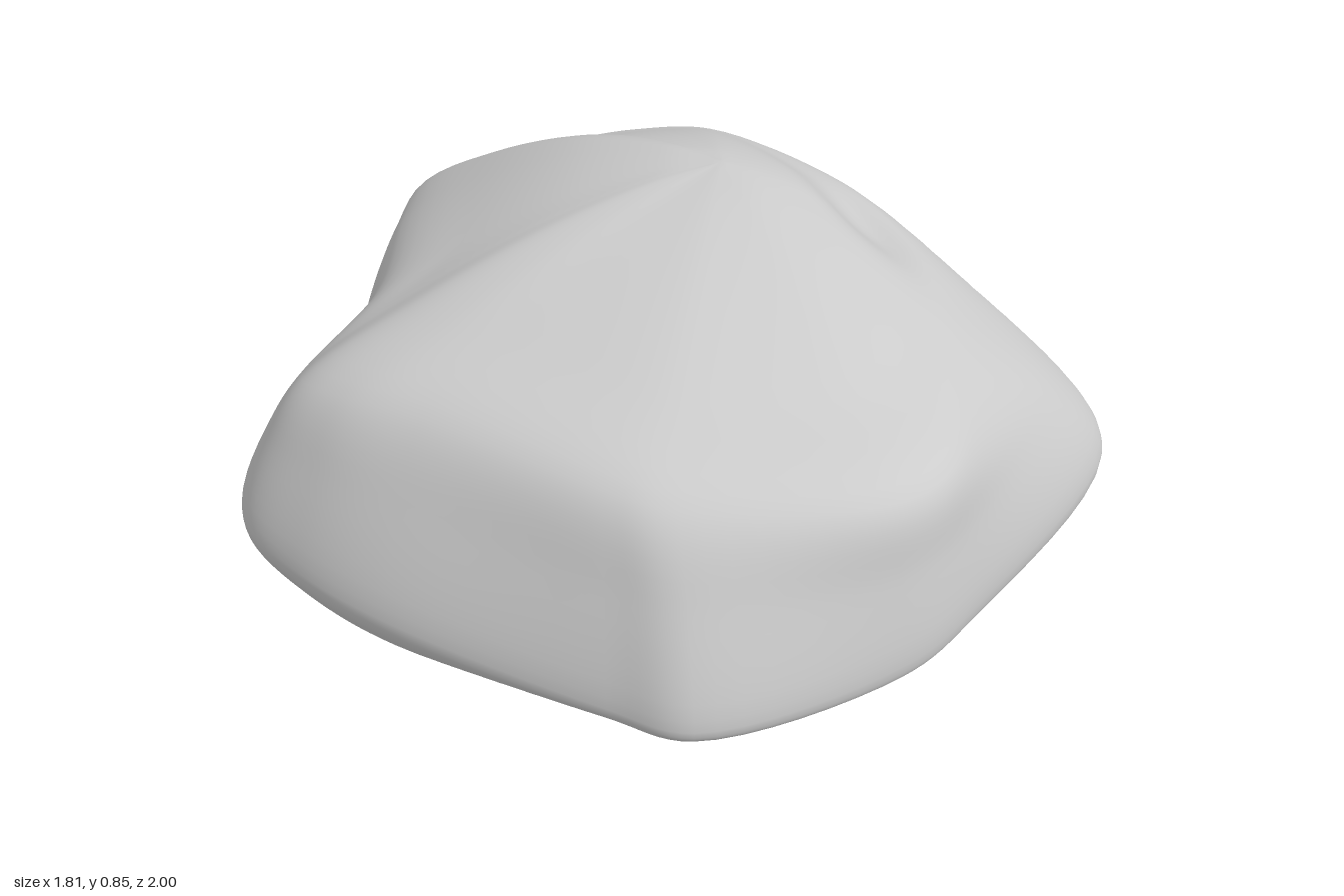
import * as THREE from 'three';
import { mergeVertices } from 'three/addons/utils/BufferGeometryUtils.js';

const { smoothstep } = THREE.MathUtils;
const v = (x, y, z) => new THREE.Vector3(x, y, z);
const APEX = v(0.27, 0.835, 0.03);
const BASE = v(0.15, 0.005, -0.05);

// Stations round the rock, from the back lobe by way of +x:
// [rim x, rim z, shoulder x, shoulder y, shoulder z]
const STATIONS = [
  // back lobe
  [0.12, -1.0, 0.13, 0.44, -0.93],
  [0.29, -0.92, 0.25, 0.46, -0.86],
  [0.355, -0.8, 0.29, 0.53, -0.74],
  [0.43, -0.7, 0.35, 0.59, -0.62],
  // +x flank
  [0.6, -0.58, 0.46, 0.65, -0.46],
  [0.78, -0.39, 0.6, 0.66, -0.3],
  [0.88, 0.1, 0.63, 0.665, 0.12],
  [0.9, 0.5, 0.55, 0.64, 0.42],
  [0.86, 0.73, 0.43, 0.62, 0.6],
  [0.72, 0.9, 0.3, 0.59, 0.75],
  // front
  [0.1, 0.99, 0.03, 0.55, 0.92],
  [-0.17, 0.985, -0.17, 0.55, 0.9],
  [-0.62, 0.78, -0.5, 0.57, 0.62],
  // -x flank
  [-0.7, 0.6, -0.57, 0.58, 0.47],
  [-0.87, 0.08, -0.67, 0.58, 0.02],
  [-0.905, -0.2, -0.72, 0.55, -0.2],
  [-0.88, -0.42, -0.71, 0.51, -0.36],
  [-0.75, -0.56, -0.62, 0.47, -0.45],
  // hollow beside the back lobe
  [-0.42, -0.63, -0.36, 0.52, -0.51],
  [-0.08, -0.92, -0.02, 0.46, -0.82],
];

// Point on the domed crown, s = 0 at the shoulder and 1 at the apex;
// the dome is fuller toward the back
function crownPoint(shoulder, s, groove = 0) {
  const p = shoulder.clone().lerp(APEX, s);
  const fullness = 1.48 + 0.6 * Math.max(0, -shoulder.z);
  p.y = shoulder.y + (APEX.y - shoulder.y) * (1 - Math.pow(1 - s, fullness)) - groove;
  return p;
}

// Profile of one station from the underside up to the crown
function profile([x, z, sx, sy, sz]) {
  const front = smoothstep(z, 0, 0.8);
  const rimY = 0.16 + 0.04 * front * x;
  // The underside lifts toward the front and -x, and is undercut at the front
  const underY = Math.max(0.005, 0.045 * smoothstep(-x, -0.1, 0.4), 0.068 * smoothstep(z, -0.1, 0.5));
  const inset = 0.94 - 0.04 * front;
  const under = v(x * inset, underY, z * inset);
  const shoulder = v(sx, sy, sz);
  // A groove runs behind the ledge on the +x flank
  const groove = sx > 0.4 ? 0.06 * Math.exp(-(((sz - 0.32) / 0.2) ** 2)) : 0;
  return [
    BASE.clone().lerp(under, 0.5),
    under,
    v(x * 0.985, underY + (rimY - underY) * 0.4, z * 0.985),
    v(x, rimY, z),
    v(x + (sx - x) * 0.42, rimY + (sy - rimY) * 0.55, z + (sz - z) * 0.42),
    shoulder,
    crownPoint(shoulder, 0.25, groove),
    crownPoint(shoulder, 0.55),
    crownPoint(shoulder, 0.82),
  ];
}

function rockGeometry(around, up) {
  // Smooth each level into a closed ring
  const profiles = STATIONS.map(profile);
  const rings = profiles[0].map((_, level) =>
    new THREE.CatmullRomCurve3(profiles.map((p) => p[level]), true));

  // Smooth each column from base to apex
  const positions = [];
  const index = [];
  for (let i = 0; i < around; i++) {
    const column = new THREE.CatmullRomCurve3(
      [BASE, ...rings.map((r) => r.getPoint(i / around)), APEX]);
    for (let j = 0; j <= up; j++) positions.push(...column.getPoint(j / up).toArray());
  }
  for (let i = 0; i < around; i++) {
    for (let j = 0; j < up; j++) {
      const a = i * (up + 1) + j;
      const b = ((i + 1) % around) * (up + 1) + j;
      if (j < up - 1) index.push(a, a + 1, b + 1);
      if (j > 0) index.push(a, b + 1, b);
    }
  }
  const geometry = new THREE.BufferGeometry();
  geometry.setAttribute('position', new THREE.Float32BufferAttribute(positions, 3));
  geometry.setIndex(index);
  const welded = mergeVertices(geometry, 1e-5);

  // Rest on y = 0
  welded.computeBoundingBox();
  welded.translate(0, -welded.boundingBox.min.y, 0);
  welded.computeVertexNormals();
  return welded;
}

export function createModel() {
  const group = new THREE.Group();
  group.name = 'boulder';
  const rock = new THREE.Mesh(
    rockGeometry(160, 60),
    new THREE.MeshStandardMaterial({ color: 0xcccccc }));
  rock.name = 'rock';
  group.add(rock);
  return group;
}
